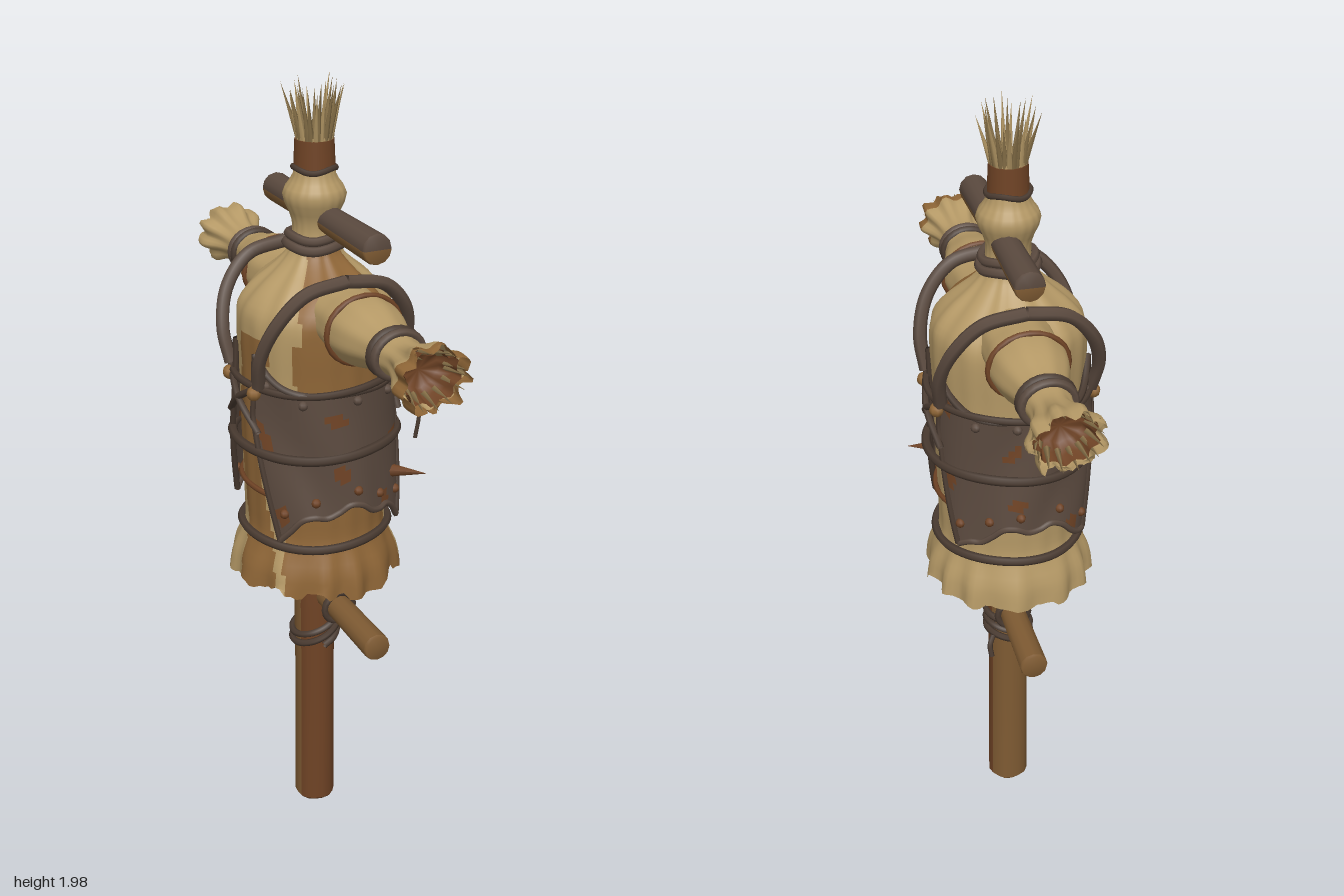
import * as THREE from 'three';

const mat = (name, color) => {
  const m = new THREE.MeshStandardMaterial({ color, side: THREE.DoubleSide });
  m.name = name;
  return m;
};
const V = (x, y, z) => new THREE.Vector3(x, y, z);
const CX = -0.01; // axis of the body

// Small repeatable random numbers
let seed = 7;
const rnd = () => (seed = (seed * 16807) % 2147483647) / 2147483647;
const hash = (i) => { const s = Math.sin(i * 12.9898) * 43758.5453; return s - Math.floor(s); };

export function createModel() {
  seed = 7;
  const root = new THREE.Group();
  root.name = 'strawDummy';
  const tan = mat('sackcloth', 0xb59966), stain = mat('stainedCloth', 0x8f6637), leather = mat('leather', 0x5b4a3f),
    wood = mat('wood', 0x7f5b33), rust = mat('rustBrown', 0x6f4325), straw = mat('straw', 0x8a734a), cord = mat('cord', 0x4a3b31);

  const add = (name, geo, material, parent = root) => {
    const m = new THREE.Mesh(geo, material);
    m.name = name;
    parent.add(m);
    return m;
  };

  // Grid surface; pick(i, j) chooses the material index of each cell
  function surface(nu, nv, closed, point, pick = () => 0) {
    const pos = [], lists = [[], [], []], w = closed ? nu : nu + 1;
    for (let j = 0; j <= nv; j++) for (let i = 0; i < w; i++) pos.push(...point(i, j).toArray());
    for (let j = 0; j < nv; j++) for (let i = 0; i < nu; i++) {
      const a = j * w + i, b = j * w + ((i + 1) % w), c = a + w, d = b + w;
      lists[pick(i, j)].push(a, b, d, a, d, c);
    }
    const g = new THREE.BufferGeometry();
    g.setAttribute('position', new THREE.Float32BufferAttribute(pos, 3));
    g.setIndex(lists.flat());
    let start = 0;
    lists.forEach((l, k) => { if (l.length) g.addGroup(start, l.length, k); start += l.length; });
    g.computeVertexNormals();
    return g;
  }

  // Revolved form from [height, radius] rows, with folds and a ragged end
  function revolve(rows, n, { smooth = 1, fold = () => 1, shift = () => 0, pick } = {}) {
    let pts = rows.map(([t, r]) => V(r, t, 0));
    if (smooth > 1) pts = new THREE.CatmullRomCurve3(pts, false, 'centripetal').getPoints((rows.length - 1) * smooth);
    return surface(n, pts.length - 1, true, (i, j) => {
      const a = (i / n) * Math.PI * 2, t = pts[j].y, r = pts[j].x * fold(a, t, i);
      return V(Math.sin(a) * r, t + shift(a, t, i), Math.cos(a) * r);
    }, pick && ((i, j) => pick((i + 0.5) / n * Math.PI * 2, (pts[j].y + pts[j + 1].y) / 2)));
  }

  const tube = (name, pts, r, material, parent, closed = false) => add(name,
    new THREE.TubeGeometry(new THREE.CatmullRomCurve3(pts, closed), pts.length * 6, r, 6, closed), material, parent);

  // Horizontal band around the body, slightly wavy
  function band(name, y, r, thick, material, tilt = 0, squash = 1) {
    const pts = [];
    for (let i = 0; i < 16; i++) {
      const a = i / 16 * Math.PI * 2;
      pts.push(V(CX + Math.sin(a) * r, y + tilt * Math.sin(a + 0.6) + 0.004 * Math.sin(3 * a), Math.cos(a) * r * squash));
    }
    return tube(name, pts, thick, material, root, true);
  }

  // Upright post, darker on its front
  const post = add('post', revolve([[0.005, 0], [0.005, 0.047], [0.012, 0.053], [0.012, 0.053], [0.4, 0.051], [0.62, 0.053],
    [0.85, 0.05], [0.85, 0]], 16, {
    smooth: 1, fold: (a) => 1 + 0.03 * Math.sin(5 * a),
    pick: (a) => (Math.cos(a) > 0.45 || (a > 1.5 && a < 1.9) ? 1 : 0),
  }), [wood, rust]);
  post.position.x = CX;

  // Crossbars running front to back
  function bar(name, y, z0, z1, r, mats) {
    const rows = [[z0, 0], [z0, r * 0.9], [z0 + 0.008, r], [z0 + 0.008, r], [(z0 + z1) / 2, r * 0.9], [z1 - 0.008, r],
      [z1 - 0.008, r], [z1, r * 0.9], [z1, 0]];
    const m = add(name, revolve(rows, 12, { pick: (a) => (Math.cos(a) < -0.1 ? 1 : 0) }), mats);
    m.rotation.x = Math.PI / 2;
    m.position.set(0.005, y, 0);
  }
  bar('upperCrossbar', 1.66, -0.265, 0.3, 0.036, [wood, leather]);
  bar('lowerCrossbar', 0.655, -0.335, 0.335, 0.035, [wood, wood]);
  for (const z of [-0.115, 0.115]) {
    const ring = add('barRing', new THREE.TorusGeometry(0.04, 0.009, 6, 16), cord);
    ring.position.set(0.005, 0.655, z);
  }
  // Rope wound round the post
  const coil = [];
  for (let i = 0; i <= 30; i++) {
    const a = i / 30 * Math.PI * 5;
    coil.push(V(CX + Math.sin(a) * 0.059, 0.51 + i * 0.0022 + 0.02 * Math.sin(a), Math.cos(a) * 0.059));
  }
  tube('postRope', coil, 0.009, cord);
  tube('ropeEnd', [V(0.04, 0.53, -0.04), V(0.052, 0.51, -0.055), V(0.05, 0.48, -0.065)], 0.007, cord);

  // Sack body with ragged hem, pleated shoulders and tied neck
  const front = (a, t) => Math.cos(a - 0.1) > (t > 1.4 ? 0.82 : 0.6) + 0.12 * Math.sin(9 * t + 5 * a);
  const side = (a, t) => t < 1.4 && Math.abs(a - 4.9 + 0.2 * Math.sin(7 * t)) < 0.3;
  const sack = add('sackBody', revolve([[0.745, 0.21], [0.8, 0.202], [0.87, 0.177], [0.95, 0.176], [1.12, 0.18], [1.3, 0.183],
    [1.4, 0.187], [1.455, 0.181], [1.5, 0.147], [1.55, 0.09], [1.585, 0.062], [1.65, 0.053], [1.715, 0.075], [1.76, 0.05],
    [1.85, 0.043]], 96, {
    smooth: 3,
    fold: (a, t) => {
      const hem = Math.max(0, (0.87 - t) / 0.125), top = Math.max(0, 1 - Math.abs(t - 1.52) / 0.1);
      return 1 + 0.045 * hem * Math.sin(13 * a + Math.sin(3 * a)) + 0.035 * top * Math.sin(12 * a) + 0.008 * Math.sin(19 * a);
    },
    shift: (a, t, i) => (t < 0.75 ? 0.04 * hash(i >> 1) * hash(i >> 3) - 0.015 : 0),
    pick: (a, t) => (t < 1.6 && (front(a, t) || side(a, t)) ? 1 : 0),
  }), [tan, stain]);
  sack.position.x = CX;

  band('hemBelt', 0.87, 0.185, 0.011, cord);
  band('thinCord', 1.0, 0.183, 0.007, rust);
  band('waistBelt', 1.12, 0.203, 0.012, cord, 0.004);
  band('chestCord', 1.285, 0.199, 0.009, cord, 0.006);
  band('neckCordLow', 1.595, 0.067, 0.012, leather);
  band('neckCordHigh', 1.617, 0.062, 0.011, leather);
  const topWrap = add('topWrap', new THREE.CylinderGeometry(0.046, 0.049, 0.065, 16), rust);
  topWrap.position.set(CX, 1.81, 0);
  band('topCord', 1.775, 0.05, 0.007, cord);

  // Straw tuft spreading out of the top
  for (let i = 0; i < 26; i++) {
    const a = i / 26 * Math.PI * 2 + rnd() * 0.15, len = 0.1 + rnd() * 0.055, lean = 0.1 + rnd() * 0.24;
    const blade = add('tuftStraw', new THREE.ConeGeometry(0.0085, len, 5).translate(0, len / 2, 0), i % 3 ? straw : tan);
    blade.position.set(CX + Math.sin(a) * 0.036, 1.838, Math.cos(a) * 0.036);
    blade.quaternion.setFromUnitVectors(V(0, 1, 0), V(Math.sin(a) * lean, 1, Math.cos(a) * lean).normalize());
  }

  // Stuffed sleeves
  for (const s of [1, -1]) {
    const arm = new THREE.Group();
    arm.name = s > 0 ? 'frontArm' : 'backArm';
    arm.position.set(0.002, 1.455, 0);
    arm.rotation.x = s * Math.PI / 2;
    arm.scale.z = 0.88;
    root.add(arm);
    const fold = (a, t) => 1 + Math.min(1, Math.max(0.12, (t - 0.43) / 0.1)) * 0.11 * Math.sin(9 * a + s);
    add('sleeve', revolve([[0.08, 0.09], [0.17, 0.086], [0.23, 0.091], [0.29, 0.084], [0.36, 0.062], [0.4, 0.056], [0.45, 0.05],
      [0.5, 0.062], [0.545, 0.081], [0.585, 0.08]], 54, {
      smooth: 3, fold, shift: (a, t, i) => (t > 0.57 ? 0.012 - 0.045 * hash((i >> 1) + s * 40) : 0),
      pick: (a, t) => (t > 0.55 && s > 0 ? 1 : 0),
    }), [tan, stain], arm);
    add('sleeveLining', revolve([[0.5, 0], [0.5, 0.048], [0.53, 0.062], [0.56, 0.068]], 36, { fold }), rust, arm);
    for (const [t, r, w, m] of [[0.388, 0.06, 0.011, cord], [0.41, 0.059, 0.011, leather], [0.24, 0.093, 0.008, rust]]) {
      const ring = add('sleeveTie', new THREE.TorusGeometry(r, w, 6, 24), m, arm);
      ring.rotation.x = Math.PI / 2;
      ring.position.y = t;
    }
    // Straw ends poking from the cuff
    for (let i = 0; i < 14; i++) {
      const a = i / 14 * Math.PI * 2 + rnd() * 0.3;
      const tip = add('cuffStraw', new THREE.ConeGeometry(0.008, 0.07, 4), straw, arm);
      tip.position.set(Math.sin(a) * 0.066, 0.552, Math.cos(a) * 0.066);
      tip.rotation.set(0.3 * Math.cos(a), 0, -0.3 * Math.sin(a));
    }
  }
  tube('looseThread', [V(0.01, 1.41, 0.475), V(0.012, 1.35, 0.492), V(0.005, 1.29, 0.49)], 0.005, cord);

  // Leather vest: one curved panel on the front and one on the back
  const panelPoint = (s, u, v) => {
    const a = u * (0.85 + 0.42 * Math.min(1, v * 1.5));
    const low = 0.985 - 0.075 * u * u + 0.012 * Math.sin(9 * u + s), high = 1.28 + 0.08 * u ** 4;
    const r = 0.194 + 0.016 * (1 - v) ** 2 + 0.004 * Math.sin(7 * u + 5 * v);
    return V(CX + Math.sin(a) * r, low + (high - low) * v, s * Math.cos(a) * r);
  };
  const along = (f) => Array.from({ length: 13 }, (_, i) => f(i / 12));
  for (const s of [1, -1]) {
    const vest = new THREE.Group();
    vest.name = s > 0 ? 'frontVestPanel' : 'backVestPanel';
    root.add(vest);
    add('panel', surface(32, 18, false, (i, j) => panelPoint(s, i / 16 - 1, j / 18),
      (i, j) => (Math.sin(i * 0.5 + s) + Math.sin(j * 0.75 + i * 0.3) > 1.65 ? 1 : 0)), [leather, rust], vest);
    tube('lowerTrim', along((t) => panelPoint(s, t * 2 - 1, 0)), 0.008, leather, vest);
    tube('upperTrim', along((t) => panelPoint(s, t * 2 - 1, 1)), 0.009, cord, vest);
    for (const e of [1, -1]) {
      tube('sideTrim', along((t) => panelPoint(s, e, t)), 0.008, cord, vest);
      // Shoulder strap passing over the sleeve
      tube('shoulderStrap', [V(CX + e * 0.185, 1.29, s * 0.085), V(CX + e * 0.192, 1.37, s * 0.115), V(CX + e * 0.165, 1.46, s * 0.15),
        V(CX + e * 0.1, 1.53, s * 0.168), V(CX, 1.55, s * 0.172)], 0.017, leather, vest);
    }
    for (const u of [-0.85, -0.45, 0.1, 0.5, 0.9]) for (const v of [0.12, 0.92]) {
      add('rivet', new THREE.SphereGeometry(0.012, 8, 6), v > 0.5 ? leather : rust, vest).position.copy(panelPoint(s, u, v));
    }
  }
  // Crossed lacing over both side openings
  for (const e of [1, -1]) for (const s of [1, -1]) {
    tube('lacing', [V(CX + e * 0.183, 1.29, s * 0.09), V(CX + e * 0.203, 1.235, 0), V(CX + e * 0.188, 1.17, -s * 0.085)], 0.009, cord);
    add('laceToggle', new THREE.SphereGeometry(0.018, 8, 6), stain).position.set(CX + e * 0.193, 1.27, s * 0.075);
  }
  // Bent peg stuck in the vest
  const peg = add('peg', new THREE.ConeGeometry(0.02, 0.11, 8), rust);
  peg.position.set(0.165, 1.025, 0.155);
  peg.quaternion.setFromUnitVectors(V(0, 1, 0), V(0.9, -0.12, 0.4).normalize());
  return root;
}
